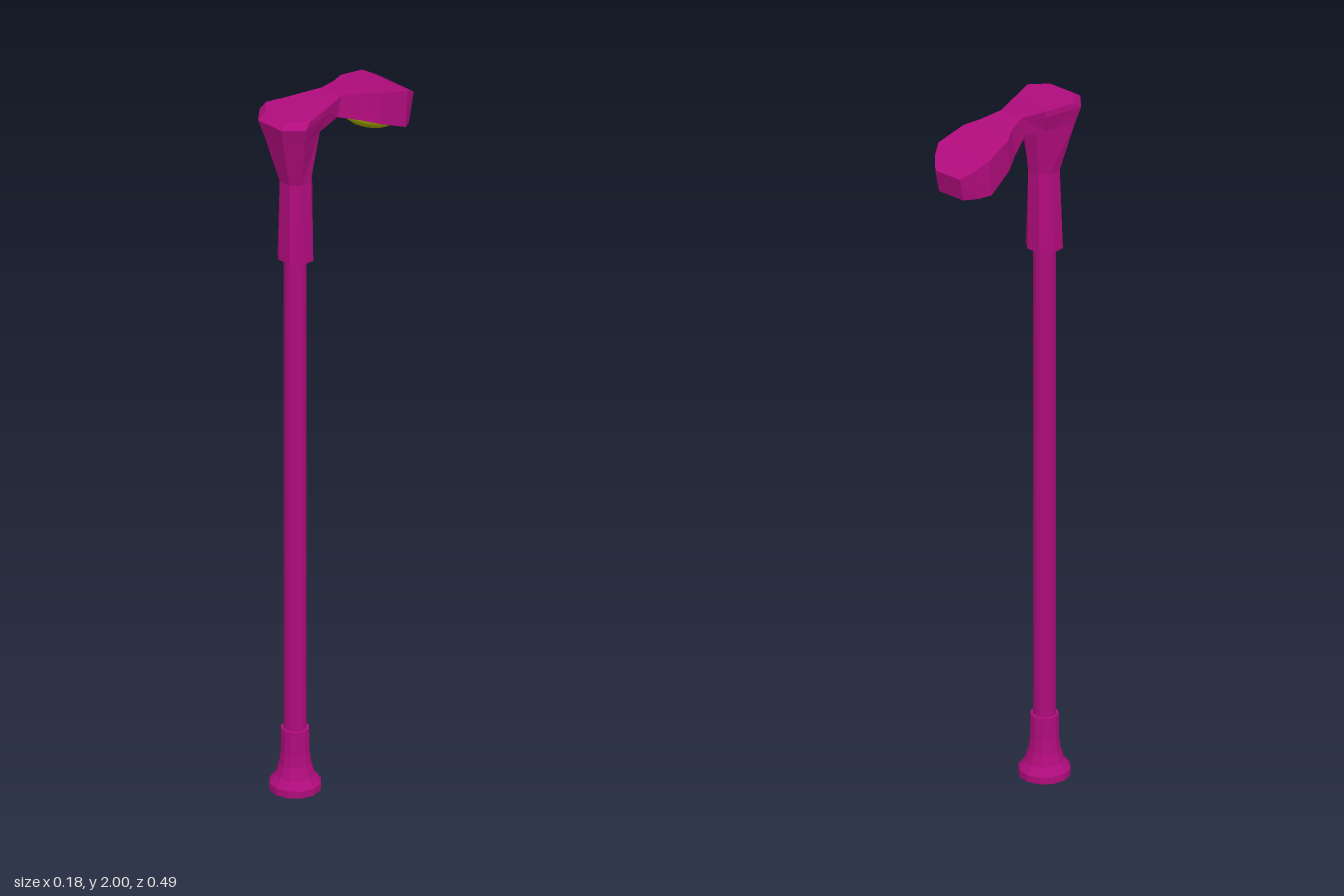
import * as THREE from 'three';

const PAINT = 0xb00c7c, GLASS = 0xa0a000;
const POLE_Z = 0.15;

// Skin a list of closed loops (equal point counts) and cap both ends
function loft(loops) {
  const n = loops[0].length, pos = [], idx = [];
  loops.forEach(l => l.forEach(p => pos.push(...p)));
  for (let i = 0; i < loops.length - 1; i++)
    for (let j = 0; j < n; j++) {
      const a = i * n + j, b = i * n + (j + 1) % n;
      idx.push(a, b, b + n, a, b + n, a + n);
    }
  const last = (loops.length - 1) * n;
  for (let j = 1; j < n - 1; j++) {
    idx.push(0, j + 1, j);
    idx.push(last, last + j, last + j + 1);
  }
  const g = new THREE.BufferGeometry();
  g.setAttribute('position', new THREE.Float32BufferAttribute(pos, 3));
  g.setIndex(idx);
  const flat = g.toNonIndexed();
  flat.computeVertexNormals();
  return flat;
}

// Eight-point mirrored ring from four [x, z] points, front to back
function ring(y, half) {
  const right = half.map(([x, z]) => [x, y, z]);
  const left = half.map(([x, z]) => [-x, y, z]).reverse();
  return [...right, ...left];
}

export function createModel() {
  const group = new THREE.Group();
  const add = (name, geometry, color, flatShading) => {
    const mesh = new THREE.Mesh(geometry, new THREE.MeshStandardMaterial({ color, flatShading }));
    mesh.name = name;
    group.add(mesh);
    return mesh;
  };

  // Flared foot
  const foot = [[0, 0], [0.07, 0], [0.07, 0.02], [0.053, 0.042], [0.043, 0.075],
    [0.039, 0.11], [0.038, 0.178], [0, 0.18]].map(p => new THREE.Vector2(...p));
  add('foot', new THREE.LatheGeometry(foot, 12), PAINT, true).position.z = POLE_Z;

  // Pole
  add('pole', new THREE.CylinderGeometry(0.031, 0.031, 1.5, 12), PAINT, false)
    .position.set(0, 0.87, POLE_Z);

  // Sleeve that flares forward and outward into the top bracket
  const bracket = [
    ring(1.56, [[0.02, 0.191], [0.048, 0.168], [0.048, 0.13], [0.02, 0.105]]),
    ring(1.79, [[0.018, 0.189], [0.04, 0.165], [0.038, 0.13], [0.018, 0.105]]),
    ring(1.93, [[0.035, 0.228], [0.074, 0.186], [0.047, 0.105], [0.022, 0.09]]),
    ring(1.98, [[0.044, 0.243], [0.088, 0.195], [0.057, 0.088], [0.03, 0.08]]),
    ring(1.997, [[0.04, 0.219], [0.082, 0.177], [0.057, 0.088], [0.03, 0.08]]),
  ];
  add('bracket', loft(bracket), PAINT, true);

  // Narrow arm widening into the lamp head:
  // top z, top y, top half width, bottom z, bottom y, bottom half width
  const head = [
    [0.1, 1.997, 0.061, 0.1, 1.93, 0.045],
    [0.015, 2, 0.036, 0.03, 1.943, 0.036],
    [-0.045, 1.993, 0.052, -0.035, 1.918, 0.056],
    [-0.09, 1.985, 0.075, -0.085, 1.897, 0.077],
    [-0.18, 1.965, 0.086, -0.17, 1.862, 0.088],
    [-0.215, 1.945, 0.069, -0.2, 1.857, 0.069],
    [-0.245, 1.922, 0.042, -0.23, 1.855, 0.042],
  ].map(([zt, yt, wt, zb, yb, wb]) => [[-wt, yt, zt], [wt, yt, zt], [wb, yb, zb], [-wb, yb, zb]]);
  // Loops run clockwise seen from the front, so the skin faces outward
  add('lampHead', loft(head.map(l => l.slice().reverse()).reverse()), PAINT, true);

  // Domed lens tilted under the head
  const lens = add('lens', new THREE.SphereGeometry(1, 16, 10), GLASS, false);
  lens.scale.set(0.055, 0.033, 0.086);
  lens.rotation.x = -0.35;
  lens.position.set(0, 1.883, -0.125);

  return group;
}
